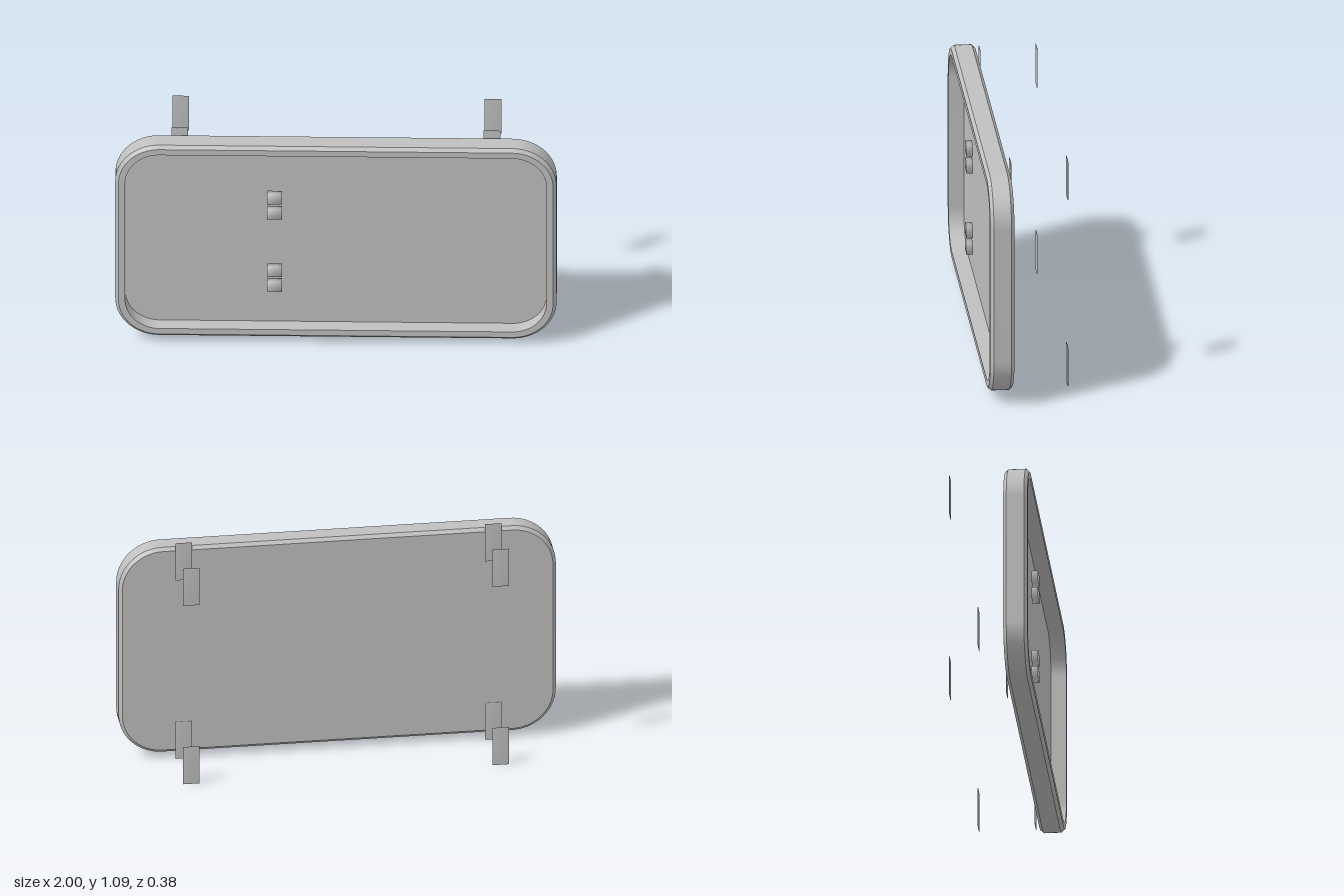
import * as THREE from 'three';
import { mergeVertices } from 'three/addons/utils/BufferGeometryUtils.js';

const CENTRE_Y = 0.548, HALF_W = 1, HALF_H = 0.518, RADIUS = 0.2;

// Rounded rectangle, counter-clockwise seen from the front
function outline(inset) {
  const r = RADIUS - inset, points = [];
  const cx = HALF_W - RADIUS, cy = HALF_H - RADIUS;
  [[1, 1], [-1, 1], [-1, -1], [1, -1]].forEach(([sx, sy], corner) => {
    for (let i = 0; i <= 16; i++) {
      const a = (corner + i / 16) * Math.PI / 2;
      points.push(new THREE.Vector2(sx * cx + r * Math.cos(a), sy * cy + r * Math.sin(a)));
    }
  });
  return points;
}

// Wall between two outlines, with crisp edges front and back
function band([insetA, zA], [insetB, zB]) {
  const a = outline(insetA), b = outline(insetB), n = a.length;
  const positions = [], index = [];
  a.forEach(p => positions.push(p.x, p.y, zA));
  b.forEach(p => positions.push(p.x, p.y, zB));
  for (let i = 0; i < n; i++) {
    const j = (i + 1) % n;
    index.push(i, j, n + j, i, n + j, n + i);
  }
  const geometry = new THREE.BufferGeometry();
  geometry.setAttribute('position', new THREE.Float32BufferAttribute(positions, 3));
  geometry.setIndex(index);
  geometry.computeVertexNormals();
  return geometry;
}

// Box whose normals are shared across its corners for soft shading
function softBox(w, h, d) {
  const box = new THREE.BoxGeometry(w, h, d);
  box.deleteAttribute('normal');
  box.deleteAttribute('uv');
  const geometry = mergeVertices(box);
  geometry.computeVertexNormals();
  return geometry;
}

export function createModel() {
  const model = new THREE.Group();
  const grey = new THREE.MeshStandardMaterial({ color: 0xc0c0c0 });
  grey.name = 'light grey';
  const add = (name, geometry, parent, x = 0, y = 0, z = 0) => {
    const mesh = new THREE.Mesh(geometry, grey);
    mesh.name = name;
    mesh.position.set(x, y, z);
    parent.add(mesh);
    return mesh;
  };

  // Shallow tray: chamfered outer wall, flat rim and recess wall
  const tray = new THREE.Group();
  tray.name = 'tray';
  tray.position.y = CENTRE_Y;
  model.add(tray);
  const profile = [[0.015, 0.08], [0, 0.095], [0, 0.175], [0.015, 0.19], [0.045, 0.19], [0.045, 0.12]];
  const names = ['backChamfer', 'outerWall', 'frontChamfer', 'rim', 'recessWall'];
  names.forEach((name, i) => add(name, band(profile[i], profile[i + 1]), tray));

  // Recess floor and back panel
  add('recessFloor', new THREE.ShapeGeometry(new THREE.Shape(outline(0.045))), tray, 0, 0, 0.12);
  add('backPanel', new THREE.ShapeGeometry(new THREE.Shape(outline(0.015))), tray, 0, 0, 0.08)
    .rotation.y = Math.PI;

  // Two pairs of small blocks in the recess
  const block = softBox(0.066, 0.054, 0.03);
  for (const y of [0.777, 0.695, 0.38, 0.3]) add('block', block, model, -0.278, y, 0.162);

  // Thin tabs at the four corners, in two rows behind the tray
  const tab = softBox(0.075, 0.187, 0.003);
  for (const x of [-0.71, 0.706])
    for (const y of [0.0945, 0.999])
      for (const z of [0.072, -0.187]) add('tab', tab, model, x, y, z);

  return model;
}
